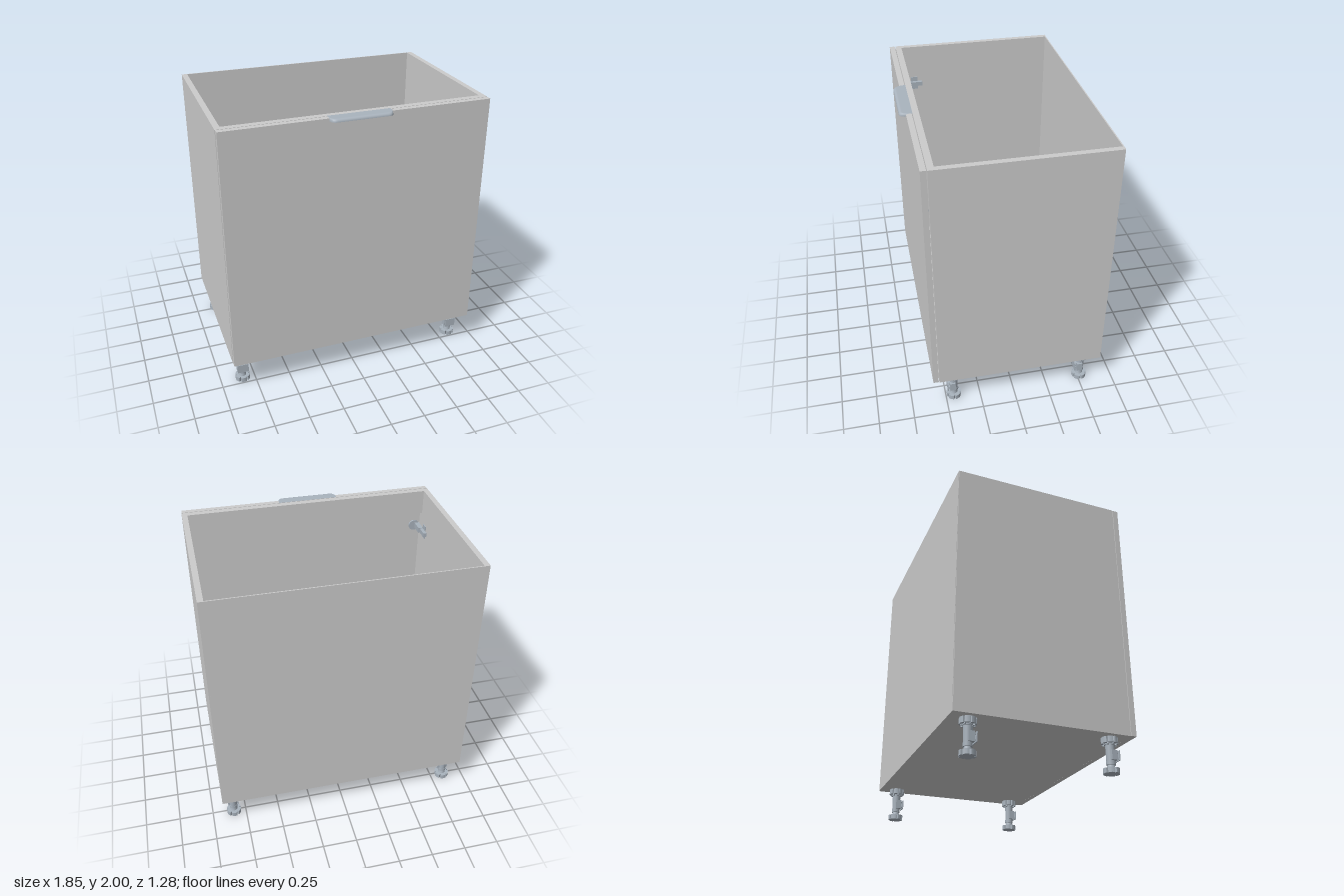
import * as THREE from 'three';

const board = new THREE.MeshStandardMaterial({ color: 0xcccccc });
const metal = new THREE.MeshStandardMaterial({ color: 0xa9b3bd });
const sheet = new THREE.MeshStandardMaterial({ color: 0xa9b3bd, side: THREE.DoubleSide });

function add(parent, name, geometry, material, x = 0, y = 0, z = 0) {
  const mesh = new THREE.Mesh(geometry, material);
  mesh.name = name;
  mesh.position.set(x, y, z);
  parent.add(mesh);
  return mesh;
}

// Box given by its limits on each axis
function panel(parent, name, [x0, x1], [y0, y1], [z0, z1], material = board) {
  return add(parent, name, new THREE.BoxGeometry(x1 - x0, y1 - y0, z1 - z0), material,
    (x0 + x1) / 2, (y0 + y1) / 2, (z0 + z1) / 2);
}

const cylinder = (top, bottom, height, sides = 24) =>
  new THREE.CylinderGeometry(top, bottom, height, sides);

// Thin pull plate on the door's top edge, rounded corners and a lip curling down
function handleGeometry() {
  const half = 0.215, corner = 0.04, back = 0.55, reach = 0.637, drop = 0.02;
  const geometry = new THREE.PlaneGeometry(2 * half, 1, 48, 14);
  const p = geometry.attributes.position;
  for (let i = 0; i < p.count; i++) {
    const x = p.getX(i), t = 0.5 - p.getY(i);
    const d = Math.max(0, Math.abs(x) - (half - corner));
    const front = reach - corner + Math.sqrt(Math.max(0, corner * corner - d * d));
    const flatEnd = front - drop;
    if (t <= 0.5) {
      p.setXYZ(i, x, 2, back + (flatEnd - back) * t * 2);
    } else {
      const a = (t - 0.5) * Math.PI;
      p.setXYZ(i, x, 2 - drop * (1 - Math.cos(a)), flatEnd + drop * Math.sin(a));
    }
  }
  geometry.computeVertexNormals();
  return geometry;
}

// Lobed outline with evenly spaced notches, extruded upwards
function notchedDisc(radius, notch, count, height) {
  const shape = new THREE.Shape();
  const steps = count * 8;
  for (let i = 0; i < steps; i++) {
    const r = i % 8 === 0 ? radius - notch : radius;
    const a = (i / steps) * Math.PI * 2;
    const x = Math.cos(a) * r, y = Math.sin(a) * r;
    if (i) shape.lineTo(x, y); else shape.moveTo(x, y);
  }
  return new THREE.ExtrudeGeometry(shape, { depth: height, bevelEnabled: false }).rotateX(-Math.PI / 2);
}

function makeLeg() {
  const leg = new THREE.Group();
  add(leg, 'foot', notchedDisc(0.053, 0.014, 6, 0.034), metal);
  add(leg, 'footNeck', cylinder(0.022, 0.028, 0.03), metal, 0, 0.046, 0);
  add(leg, 'threadedCollar', cylinder(0.03, 0.03, 0.025), metal, 0, 0.07, 0);
  add(leg, 'column', cylinder(0.03, 0.028, 0.12), metal, 0, 0.13, 0);
  // Plinth clip gripping the column
  panel(leg, 'clipBody', [-0.04, 0.04], [0.085, 0.15], [-0.01, 0.03], metal);
  panel(leg, 'clipFace', [-0.04, 0.04], [0.085, 0.15], [0.042, 0.048], metal);
  for (const y of [0.095, 0.135]) {
    panel(leg, 'clipArm', [-0.025, 0.025], [y, y + 0.01], [0.028, 0.044], metal);
  }
  // Mounting socket with ribs
  add(leg, 'socket', cylinder(0.04, 0.036, 0.048), metal, 0, 0.212, 0);
  add(leg, 'flange', notchedDisc(0.055, 0.008, 8, 0.04), metal, 0, 0.197, 0);
  for (let i = 0; i < 4; i++) {
    const rib = add(leg, 'socketRib', new THREE.BoxGeometry(0.094, 0.05, 0.008), metal, 0, 0.212, 0);
    rib.rotation.y = (i * Math.PI) / 4;
  }
  return leg;
}

function makeHinge() {
  const hinge = new THREE.Group();
  panel(hinge, 'mountingPlate', [-0.885, -0.878], [-0.05, 0.05], [0.4, 0.45], metal);
  panel(hinge, 'hingeArm', [-0.88, -0.855], [-0.016, 0.016], [0.365, 0.52], metal);
  panel(hinge, 'hingeKnuckle', [-0.88, -0.845], [-0.02, 0.02], [0.45, 0.545], metal);
  const cup = add(hinge, 'hingeCup', cylinder(0.04, 0.04, 0.012), metal, -0.84, 0, 0.549);
  cup.rotation.x = Math.PI / 2;
  return hinge;
}

export function createModel() {
  const model = new THREE.Group();
  model.name = 'baseCabinet';
  const top = 1.997, bottom = 0.238, inner = 0.885, outer = 0.924;

  // Carcass, open at the top
  const carcass = new THREE.Group();
  carcass.name = 'carcass';
  model.add(carcass);
  panel(carcass, 'leftSide', [inner, outer], [bottom, top], [-0.638, 0.55]);
  panel(carcass, 'rightSide', [-outer, -inner], [bottom, top], [-0.638, 0.55]);
  panel(carcass, 'bottomPanel', [-inner, inner], [bottom, bottom + 0.04], [-0.632, 0.55]);
  panel(carcass, 'backPanel', [-0.915, 0.915], [bottom, top], [-0.64, -0.632]);
  panel(carcass, 'frontRail', [-inner, inner], [top - 0.18, top], [0.507, 0.55]);
  panel(carcass, 'rearRail', [-inner, inner], [bottom + 0.04, bottom + 0.22], [-0.632, -0.598]);

  // Door with its pull
  panel(model, 'door', [-0.922, 0.922], [bottom + 0.003, top], [0.555, 0.593]);
  add(model, 'handle', handleGeometry(), sheet);

  // Hinges on the right side
  for (const y of [0.48, 1.7]) {
    const hinge = makeHinge();
    hinge.name = 'hinge';
    hinge.position.y = y;
    model.add(hinge);
  }

  // Adjustable legs
  for (const x of [-0.84, 0.84]) {
    for (const z of [0.44, -0.515]) {
      const leg = makeLeg();
      leg.name = 'leg';
      leg.position.set(x, 0, z);
      model.add(leg);
    }
  }
  return model;
}
